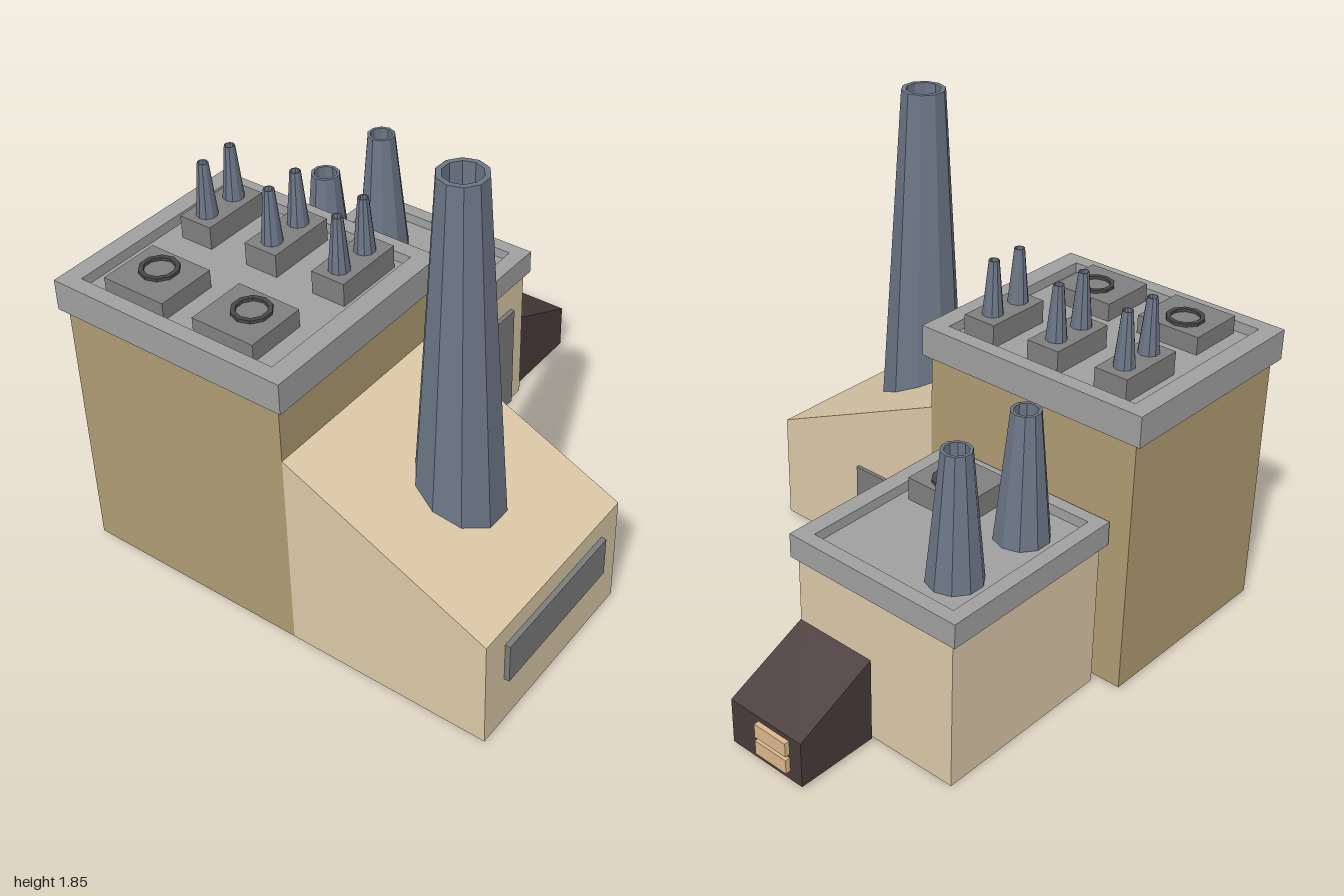
import * as THREE from 'three';

const mat = (color, side = THREE.FrontSide) =>
  new THREE.MeshStandardMaterial({ color, flatShading: true, side });
const M = {
  wall: mat(0xdcc9a8), tower: mat(0xb09c72), roof: mat(0xa0a0a0), unit: mat(0x808080),
  door: mat(0x7c7c7c), stack: mat(0x6c7686, THREE.DoubleSide), ring: mat(0x484848),
  shed: mat(0x4a3c3c), slot: mat(0xdcb98c),
};

export function createModel() {
  const root = new THREE.Group();
  const add = (name, geometry, material, parent = root) => {
    const mesh = new THREE.Mesh(geometry, material);
    mesh.name = name;
    parent.add(mesh);
    return mesh;
  };

  // Box given by its limits on each axis
  const boxGeo = ([x0, x1], [y0, y1], [z0, z1]) =>
    new THREE.BoxGeometry(x1 - x0, y1 - y0, z1 - z0)
      .translate((x0 + x1) / 2, (y0 + y1) / 2, (z0 + z1) / 2);
  const box = (name, x, y, z, material) => add(name, boxGeo(x, y, z), material);

  // Box whose top is lowered on the far side of one axis
  const wedge = (name, x, y, z, axis, lowY, material) => {
    const g = boxGeo(x, y, z), p = g.attributes.position;
    const far = (axis === 'x' ? x : z)[1];
    for (let i = 0; i < p.count; i++) {
      const a = axis === 'x' ? p.getX(i) : p.getZ(i);
      if (p.getY(i) > y[1] - 1e-4 && a > far - 1e-4) p.setY(i, lowY);
    }
    g.computeVertexNormals();
    return add(name, g, material);
  };

  // Flat roof: a raised rim around a sunken deck
  const flatRoof = (name, x, z, ix, iz, y0, y1, deckY) => {
    const group = new THREE.Group();
    group.name = name;
    const rect = (target, [x0, x1], [z0, z1]) => {
      target.moveTo(x0, -z0);
      target.lineTo(x0, -z1);
      target.lineTo(x1, -z1);
      target.lineTo(x1, -z0);
      target.closePath();
      return target;
    };
    const shape = rect(new THREE.Shape(), x, z);
    shape.holes.push(rect(new THREE.Path(), ix, iz));
    const rim = new THREE.ExtrudeGeometry(shape, { depth: y1 - y0, bevelEnabled: false });
    rim.rotateX(-Math.PI / 2).translate(0, y0, 0);
    add(name + 'Rim', rim, M.roof, group);
    add(name + 'Deck', boxGeo(ix, [y0, deckY], iz), M.roof, group);
    root.add(group);
  };

  // Tapered ten-sided chimney with a hollow mouth
  const chimney = (name, x, z, y0, y1, rBase, rTop) => {
    const inner = rTop * 0.78, depth = rTop * 1.2;
    const profile = [[0, y0], [rBase, y0], [rTop, y1], [inner, y1], [inner, y1 - depth], [0, y1 - depth]]
      .map(([r, y]) => new THREE.Vector2(r, y));
    const g = new THREE.LatheGeometry(profile, 10).rotateY(Math.PI / 2);
    add(name, g, M.stack).position.set(x, 0, z);
  };

  // Roof fan: a low housing with a raised ring
  const fan = (name, x, z, y0, y1, cx, cz) => {
    box(name + 'Housing', x, [y0, y1], z, M.unit);
    const profile = [[0.055, 0], [0.072, 0], [0.072, 0.012], [0.055, 0.012], [0.055, 0]]
      .map(([r, y]) => new THREE.Vector2(r, y));
    const g = new THREE.LatheGeometry(profile, 10).rotateY(Math.PI / 2);
    add(name + 'Ring', g, M.ring).position.set(cx, y1, cz);
  };

  // Tall rear block
  box('towerWalls', [-0.98, -0.165], [0.01, 1.04], [-0.855, 0.065], M.tower);
  flatRoof('towerRoof', [-1, -0.14], [-0.885, 0.09], [-0.94, -0.2], [-0.815, 0.015], 1.04, 1.16, 1.12);
  fan('towerFanBack', [-0.92, -0.685], [-0.725, -0.465], 1.1, 1.19, -0.78, -0.605);
  fan('towerFanFront', [-0.92, -0.685], [-0.335, -0.08], 1.1, 1.19, -0.78, -0.2);
  for (const z of [-0.682, -0.388, -0.097]) {
    box('ventBase', [-0.515, -0.235], [1.1, 1.21], [z - 0.068, z + 0.068], M.unit);
    for (const x of [-0.45, -0.31]) chimney('ventPipe', x, z, 1.2, 1.42, 0.041, 0.02);
  }

  // Sloped front hall with its window, side door and main chimney
  wedge('hallWalls', [-0.98, -0.165], [0.01, 0.82], [0.065, 0.865], 'z', 0.45, M.wall);
  box('hallWindow', [-0.87, -0.27], [0.21, 0.37], [0.86, 0.885], M.door);
  box('hallDoor', [-0.17, -0.15], [0.01, 0.405], [0.195, 0.45], M.door);
  chimney('mainChimney', -0.565, 0.478, 0.5, 1.85, 0.168, 0.085);

  // Side block with a gate and two chimneys
  box('sideWalls', [-0.14, 0.625], [0, 0.6], [-0.75, -0.04], M.wall);
  box('sideGate', [-0.055, 0.54], [0.01, 0.47], [-0.05, -0.022], M.door);
  flatRoof('sideRoof', [-0.155, 0.645], [-0.775, -0.02], [-0.105, 0.59], [-0.72, -0.085], 0.6, 0.695, 0.655);
  fan('sideFan', [-0.07, 0.165], [-0.39, -0.125], 0.64, 0.745, 0.075, -0.25);
  for (const x of [0.07, 0.415]) chimney('sideChimney', x, -0.57, 0.64, 1.155, 0.105, 0.055);

  // Small dark lean-to with two slots
  wedge('leanTo', [0.645, 0.98], [0.015, 0.355], [-0.4, -0.06], 'x', 0.2, M.shed);
  for (const y of [0.052, 0.124])
    box('leanToSlot', [0.97, 1], [y, y + 0.057], [-0.345, -0.195], M.slot);

  return root;
}
